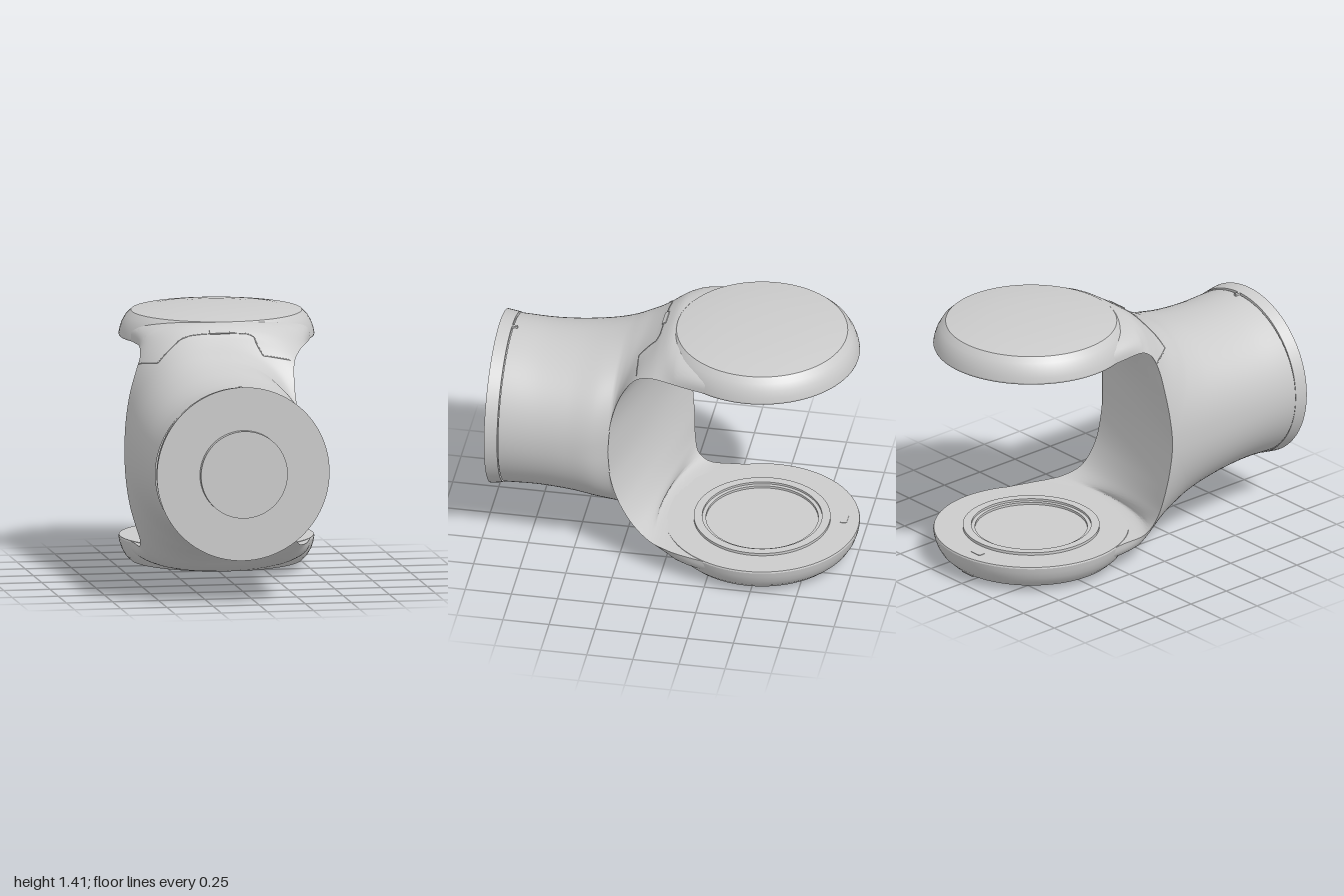
import * as THREE from 'three';
import { mergeGeometries, toCreasedNormals } from 'three/addons/utils/BufferGeometryUtils.js';

const MID = 0.707;                  // height of the symmetry plane
const HUB = { x: 0.033, z: -0.48 }; // axis of the two fork discs
const AXIS_X = -0.08;               // axis of the round mounting end

// Shell stations from fork to flange: left edge xyz, crown height and z, right edge xyz
const STATIONS = [
  [-0.48, 0.54, -0.48, 0.668, -0.48, 0.545, 0.54, -0.48],
  [-0.455, 0.54, -0.25, 0.672, -0.25, 0.50, 0.54, -0.25],
  [-0.45, 0.54, -0.12, 0.673, -0.07, 0.45, 0.54, -0.08],
  [-0.453, 0.525, -0.08, 0.667, -0.01, 0.425, 0.537, -0.02],
  [-0.46, 0.49, -0.045, 0.64, 0.04, 0.39, 0.525, 0.06],
  [-0.485, 0.42, -0.025, 0.60, 0.09, 0.345, 0.475, 0.15],
  [-0.52, 0.30, -0.015, 0.56, 0.15, 0.33, 0.36, 0.23],
  [-0.545, 0.15, 0, 0.53, 0.21, 0.34, 0.19, 0.285],
  [-0.553, 0, 0.01, 0.503, 0.27, 0.35, 0, 0.30],
  [-0.552, 0, 0.20, 0.473, 0.37, 0.38, 0, 0.41],
  [-0.548, 0, 0.50, 0.446, 0.51, 0.386, 0, 0.53],
  [-0.545, 0, 0.70, 0.435, 0.70, 0.385, 0, 0.70],
  [-0.543, 0, 0.89, 0.449, 0.89, 0.383, 0, 0.89],
];
const LAST = STATIONS.length - 1;
const MOUTH = 8; // station where the fork opening closes on the mid plane

const spline = (points) => new THREE.CatmullRomCurve3(points);
const crownLine = spline(STATIONS.map((s) => new THREE.Vector3(0, s[3], s[4])));

// One side edge: round the fork opening (mirrored, so it crosses the mid plane upright), then along the body
function edgeLine(offset) {
  const pts = STATIONS.map((s) => new THREE.Vector3(...s.slice(offset, offset + 3)));
  const upper = pts.slice(0, MOUTH + 1);
  const lower = upper.slice(0, MOUTH).reverse().map((p) => new THREE.Vector3(p.x, -p.y, p.z));
  const mouth = spline([...upper, ...lower]);
  const body = spline(pts.slice(MOUTH));
  return (s) => {
    const p = s <= MOUTH ? mouth.getPoint(s / (2 * MOUTH)) : body.getPoint((s - MOUTH) / (LAST - MOUTH));
    p.y = Math.max(0, p.y);
    return p;
  };
}
const leftEdge = edgeLine(0);
const rightEdge = edgeLine(5);

// Outer skin: an arch over the crown, cut off at the side edges. s = station, v = 0 left to 1 right
function outer(s, v) {
  const l = leftEdge(s), r = rightEdge(s);
  const crown = crownLine.getPoint(s / LAST);
  const cx = (l.x + r.x) / 2;
  const edge = v < 0.5 ? l : r;
  const power = THREE.MathUtils.lerp(0.62, 1, s / LAST);
  const base = edge.y * (1 - THREE.MathUtils.smoothstep(s, 1, 6));
  const cut = (edge.y - base) / (crown.y - base);
  const start = Math.asin(cut ** (1 / power));
  const angle = Math.PI / 2 - Math.abs(1 - 2 * v) * (Math.PI / 2 - start);
  const rise = Math.sin(angle) ** power;
  const reach = (Math.max(0, Math.cos(angle)) / Math.cos(start)) ** power;
  return new THREE.Vector3(
    cx + (edge.x - cx) * reach,
    base + (crown.y - base) * rise,
    edge.z + (crown.z - edge.z) * (rise - cut) / (1 - cut));
}

// Inner skin: across the fork opening, hollowed where it curves round the discs
function inner(s, v) {
  const p = leftEdge(s).lerp(rightEdge(s), v);
  p.z += 0.4 * v * (1 - v) * Math.exp(-(((s - 3) / 1.2) ** 2));
  return p;
}

// Grid surface; quads within the radius "hole" of the disc axis are left out
function skin(fn, stations, rows, cols, side, flip, hole) {
  const pos = [], idx = [];
  for (let i = 0; i <= rows; i++) {
    for (let j = 0; j <= cols; j++) {
      const p = fn(stations * i / rows, j / cols);
      pos.push(p.x, MID + side * p.y, p.z);
    }
  }
  for (let i = 0; i < rows; i++) {
    for (let j = 0; j < cols; j++) {
      const a = i * (cols + 1) + j, b = a + cols + 1;
      const p = fn(stations * (i + 0.5) / rows, (j + 0.5) / cols);
      if (Math.hypot(p.x - HUB.x, p.z - HUB.z) < hole) continue;
      if (flip) idx.push(a, a + 1, b, b, a + 1, b + 1);
      else idx.push(a, b, a + 1, b, b + 1, a + 1);
    }
  }
  const g = new THREE.BufferGeometry();
  g.setAttribute('position', new THREE.Float32BufferAttribute(pos, 3));
  g.setIndex(idx);
  return g;
}

export function createModel() {
  const root = new THREE.Group();
  const grey = new THREE.MeshStandardMaterial({ color: 0xcccccc, side: THREE.DoubleSide });
  const add = (name, geometry, x = 0, y = 0, z = 0) => {
    const m = new THREE.Mesh(geometry, grey);
    m.name = name;
    m.position.set(x, y, z);
    root.add(m);
    return m;
  };

  // Forked shell: outer skin and fork opening, both mirrored about the mid plane
  const shell = mergeGeometries([1, -1].flatMap((side) => [
    skin(outer, LAST, 96, 48, side, side < 0, 0),
    skin(inner, MOUTH, 80, 48, side, side > 0, 0.505),
  ]));
  add('forkShell', toCreasedNormals(shell, 0.6));

  // Fork discs, heights measured outward from the mid plane
  const rim = [[0.52, 0.538], [0.523, 0.547], [0.518, 0.575], [0.506, 0.61], [0.486, 0.645], [0.457, 0.673],
    [0.36, 0.687], [0.24, 0.697], [0.12, 0.702], [0, 0.703]];
  const disc = (inside) => toCreasedNormals(new THREE.LatheGeometry(
    [...inside, ...rim].map(([r, y]) => new THREE.Vector2(r, y)), 80), 0.4);
  add('upperDisc', disc([[0, 0.622], [0.335, 0.622], [0.335, 0.638], [0.455, 0.638], [0.472, 0.62], [0.472, 0.56],
    [0.485, 0.56], [0.485, 0.538]]), HUB.x, MID, HUB.z);
  const lower = add('lowerDisc', disc([[0, 0.548], [0.30, 0.548], [0.30, 0.535], [0.32, 0.535], [0.32, 0.523],
    [0.365, 0.523], [0.365, 0.538]]), HUB.x, MID, HUB.z);
  lower.rotation.x = Math.PI;

  // Small catches on the lower disc
  add('discCatch', new THREE.BoxGeometry(0.07, 0.012, 0.035), -0.03, 0.166, -0.915);
  add('rimCatch', new THREE.BoxGeometry(0.09, 0.02, 0.03), 0.03, 0.037, -0.92);

  // Mounting end: recessed core, flange and centre boss
  const round = (name, front, back, z0, z1) => {
    const g = new THREE.CylinderGeometry(front, back, z1 - z0, 96);
    g.rotateX(Math.PI / 2);
    add(name, g, AXIS_X, MID, (z0 + z1) / 2);
  };
  round('flangeCore', 0.442, 0.442, 0.87, 0.92);
  round('mountingFlange', 0.468, 0.458, 0.896, 0.965);
  round('centreBoss', 0.235, 0.235, 0.95, 1.0);
  add('flangeKey', new THREE.BoxGeometry(0.015, 0.02, 0.085), AXIS_X, MID + 0.449, 0.908);

  // Cover seam on the upper side, given as station and position across the arch
  const seam = [[4.6, 0.01], [6.0, 0.23], [4.6, 0.33], [4.4, 0.38], [4.4, 0.62], [4.6, 0.67], [5.9, 0.75], [5.0, 0.99]];
  const path = [];
  seam.slice(1).forEach(([s, v], i) => {
    const [s0, v0] = seam[i];
    for (let k = 0; k < 8; k++) path.push(outer(s0 + (s - s0) * k / 8, v0 + (v - v0) * k / 8));
  });
  add('coverSeam', new THREE.TubeGeometry(spline(path), 160, 0.003, 5), 0, MID, 0);

  // Cover latch at the middle of the seam
  const at = outer(4.3, 0.5);
  const latch = add('coverLatch', new THREE.BoxGeometry(0.11, 0.012, 0.025), at.x, MID + at.y, at.z);
  latch.rotation.x = 0.55;

  return root;
}
